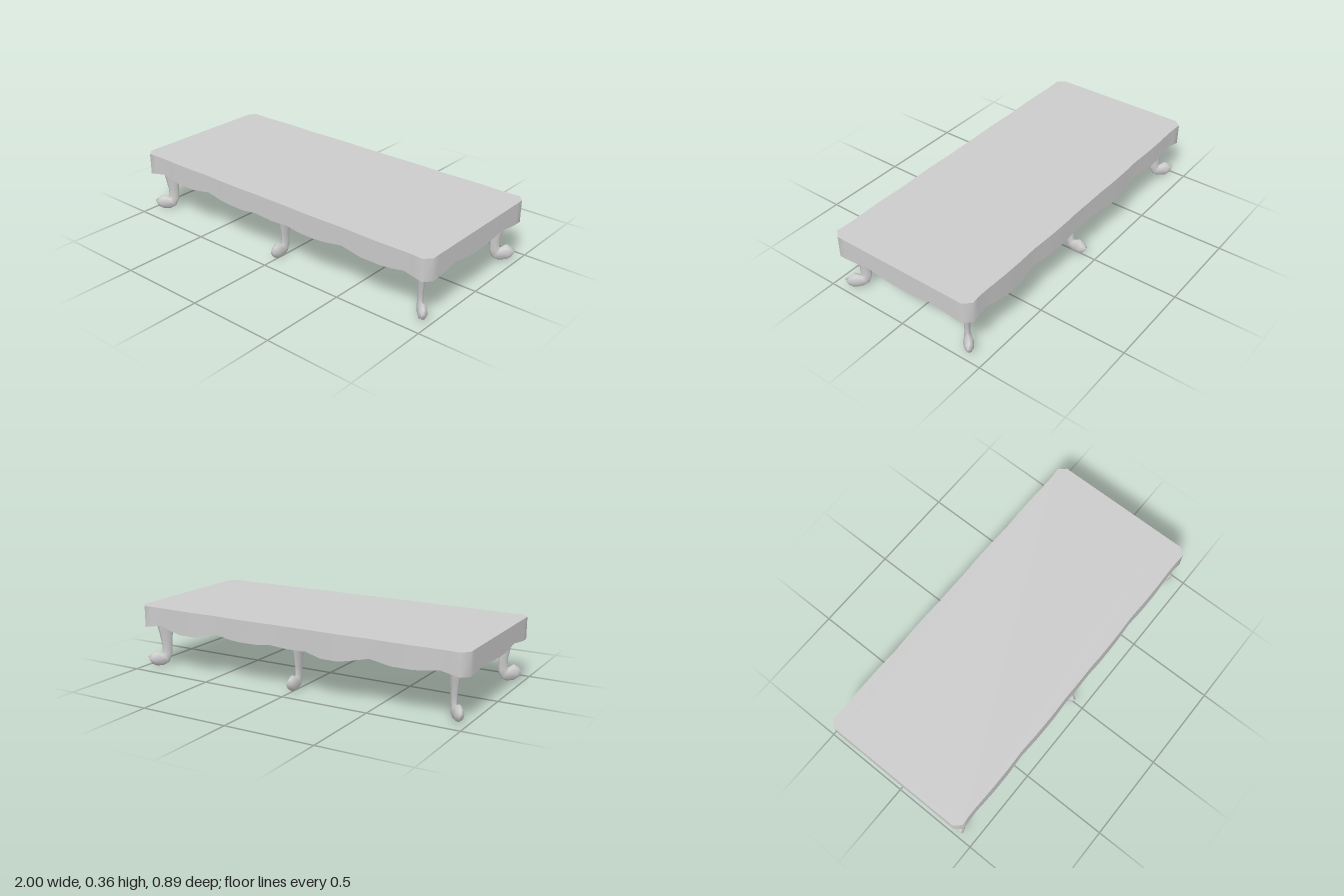
import * as THREE from 'three';

const TOP = 0.365;
const material = new THREE.MeshStandardMaterial({ color: 0xcccccc, side: THREE.DoubleSide });

// Scalloped hem of the long sides: [x, y, z], running from +x to -x
const frontHem = [
  [0.965, 0.243, 0.445], [0.92, 0.25, 0.441], [0.86, 0.262, 0.44], [0.79, 0.25, 0.442],
  [0.72, 0.243, 0.444], [0.6, 0.243, 0.444], [0.48, 0.263, 0.44], [0.37, 0.246, 0.444],
  [0.3, 0.241, 0.445], [0.2, 0.242, 0.445], [0.11, 0.252, 0.442], [0, 0.245, 0.443],
  [-0.11, 0.252, 0.442], [-0.2, 0.242, 0.445], [-0.3, 0.241, 0.445], [-0.37, 0.246, 0.444],
  [-0.48, 0.263, 0.44], [-0.6, 0.243, 0.444], [-0.72, 0.243, 0.444], [-0.79, 0.25, 0.442],
  [-0.86, 0.262, 0.44], [-0.92, 0.25, 0.441], [-0.965, 0.243, 0.445],
];
// Hem of the short ends: [z, y], symmetric about z = 0
const endHem = [
  [0.405, 0.241], [0.36, 0.241], [0.29, 0.249], [0.205, 0.262], [0.16, 0.252], [0.09, 0.244], [0, 0.24],
  [-0.09, 0.244], [-0.16, 0.252], [-0.205, 0.262], [-0.29, 0.249], [-0.36, 0.241], [-0.405, 0.241],
];

// Two scallops of the back hang a little lower
function backDip(x) {
  const bump = c => Math.max(0, 1 - Math.pow((x - c) / 0.16, 2));
  return 0.02 * (bump(-0.25) + bump(0.66));
}

// Closed loop of hem points around the table
function hemLoop() {
  const front = frontHem.map(([x, y, z]) => new THREE.Vector3(x, y, z));
  const left = endHem.map(([z, y]) => new THREE.Vector3(-1, y, z));
  const back = frontHem.map(([x, y, z]) => new THREE.Vector3(-x, y - backDip(-x), -z));
  const right = endHem.map(([z, y]) => new THREE.Vector3(1, y, -z));
  return [...front, ...left, ...back, ...right];
}

function apronGeometry(loop) {
  const positions = [], index = [], n = loop.length;
  loop.forEach((p, i) => {
    positions.push(p.x, p.y, p.z, p.x, TOP, p.z);
    const a = 2 * i, b = 2 * ((i + 1) % n);
    index.push(a, a + 1, b, b, a + 1, b + 1);
  });
  const g = new THREE.BufferGeometry();
  g.setAttribute('position', new THREE.Float32BufferAttribute(positions, 3));
  g.setIndex(index);
  g.computeVertexNormals();
  return g;
}

// Cabriole leg sections: inner r, y, outer r, y, half width (r points outward)
const legSections = [
  [0.0, 0.33, 0.095, 0.33, 0.03],
  [0.0, 0.25, 0.09, 0.25, 0.027],
  [-0.001, 0.2, 0.077, 0.2, 0.022],
  [0.005, 0.13, 0.064, 0.13, 0.016],
  [0.006, 0.065, 0.062, 0.088, 0.015],
  [0.028, 0.018, 0.066, 0.073, 0.019],
  [0.06, 0.002, 0.1, 0.093, 0.026],
  [0.1, 0.001, 0.127, 0.076, 0.024],
  [0.126, 0.016, 0.147, 0.058, 0.012],
];

// Skin the sections with rings, outward being +z
function legGeometry(sides = 8) {
  const positions = [], index = [];
  for (const [ri, yi, ro, yo, w] of legSections) {
    for (let k = 0; k < sides; k++) {
      const a = (k / sides) * Math.PI * 2, t = (1 + Math.cos(a)) / 2;
      positions.push(w * Math.sin(a), yi + (yo - yi) * t, ri + (ro - ri) * t);
    }
  }
  for (let s = 0; s < legSections.length - 1; s++) {
    for (let k = 0; k < sides; k++) {
      const k2 = (k + 1) % sides;
      const a = s * sides + k, b = s * sides + k2, c = a + sides, d = b + sides;
      index.push(a, c, b, b, c, d);
    }
  }
  // End caps
  const last = (legSections.length - 1) * sides;
  for (let k = 1; k < sides - 1; k++) {
    index.push(0, k, k + 1);
    index.push(last, last + k + 1, last + k);
  }
  const g = new THREE.BufferGeometry();
  g.setAttribute('position', new THREE.Float32BufferAttribute(positions, 3));
  g.setIndex(index);
  g.computeVertexNormals();
  return g;
}

export function createModel() {
  const model = new THREE.Group();
  model.name = 'lowTable';
  const add = (name, geometry) => {
    const mesh = new THREE.Mesh(geometry, material);
    mesh.name = name;
    model.add(mesh);
    return mesh;
  };

  // Top board and hanging apron
  const loop = hemLoop();
  const outline = new THREE.Shape(loop.map(p => new THREE.Vector2(p.x, -p.z)));
  const board = new THREE.ShapeGeometry(outline);
  board.rotateX(-Math.PI / 2);
  board.translate(0, TOP, 0);
  add('tableTop', board);
  add('apron', apronGeometry(loop));

  // Four corner legs turned outward, and one in the middle of each long side
  const leg = legGeometry();
  for (const [end, sz] of [['front', 1], ['back', -1]]) {
    for (const [side, sx] of [['Left', 1], ['Right', -1]]) {
      const corner = add(end + side + 'Leg', leg);
      corner.position.set(0.873 * sx, 0, 0.32 * sz);
      corner.rotation.y = Math.atan2(sx, sz);
    }
    const middle = add(end + 'MiddleLeg', leg);
    middle.position.z = 0.298 * sz;
    middle.rotation.y = sz > 0 ? 0 : Math.PI;
  }
  return model;
}
